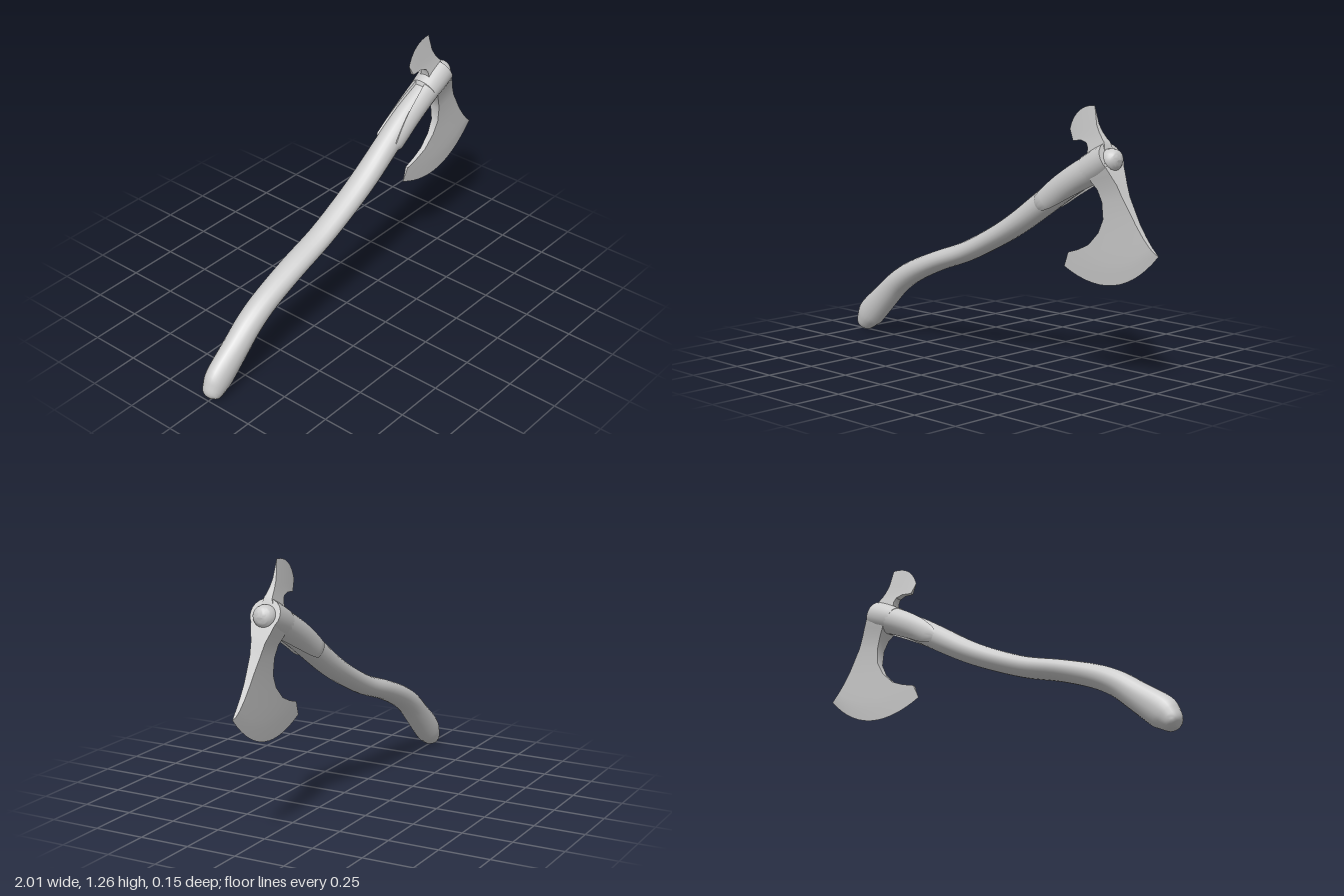
import * as THREE from 'three';
import { toCreasedNormals } from 'three/addons/utils/BufferGeometryUtils.js';

// Skin a list of equal-length point rings into a smooth surface with creased edges
function skin(rings, closed = true, crease = 0.7) {
  const n = rings[0].length, pos = [], index = [];
  rings.forEach(r => r.forEach(p => pos.push(...p)));
  for (let i = 0; i < rings.length - 1; i++) {
    for (let j = 0; j < (closed ? n : n - 1); j++) {
      const k = (j + 1) % n, a = i * n, b = a + n;
      index.push(a + j, b + j, b + k, a + j, b + k, a + k);
    }
  }
  const g = new THREE.BufferGeometry();
  g.setAttribute('position', new THREE.Float32BufferAttribute(pos, 3));
  g.setIndex(index);
  return toCreasedNormals(g, crease);
}

// Stations [x, y, halfHeight, halfWidth], smoothed into steps with in-plane normals
function frames(stations, sub) {
  const curve = f => new THREE.CatmullRomCurve3(stations.map(f), false, 'catmullrom');
  const path = curve(s => new THREE.Vector3(s[0], s[1], 0));
  const size = curve(s => new THREE.Vector3(s[2], s[3], 0));
  const count = (stations.length - 1) * sub, out = [];
  for (let i = 0; i <= count; i++) {
    const p = path.getPoint(i / count), s = size.getPoint(i / count);
    const t = path.getPoint(Math.min(1, (i + 1) / count))
      .sub(path.getPoint(Math.max(0, (i - 1) / count))).normalize();
    out.push({ p, t, h: Math.max(0, s.x), w: Math.max(0, s.y) });
  }
  return out;
}

// Point on the elliptical section of a frame (angle 0 faces +z)
const onSection = (f, a, grow = 0) => {
  const u = (f.h + grow) * Math.sin(a);
  return [f.p.x - f.t.y * u, f.p.y + f.t.x * u, (f.w + grow) * Math.cos(a)];
};

function loft(stations, sub, sides) {
  return skin(frames(stations, sub).map(f =>
    Array.from({ length: sides }, (_, j) => onSection(f, j / sides * Math.PI * 2))));
}

// Thin blade from rows [backX, backY, frontX, frontY, halfThickness, bulge]
function blade(rows, dir) {
  const cols = 14;
  return skin(rows.map(([ax, ay, bx, by, h, bulge]) => {
    const dx = bx - ax, dy = by - ay, len = Math.hypot(dx, dy), face = [];
    for (let j = 0; j <= cols; j++) {
      const s = j / cols, b = dir * bulge * 4 * s * (1 - s) / len;
      face.push([ax + dx * s + dy * b, ay + dy * s - dx * b, h]);
    }
    const ring = [...face, ...face.map(([x, y, z]) => [x, y, -z]).reverse()];
    return dir > 0 ? ring : ring.reverse();
  }), true, 0.6);
}

export function createModel() {
  const group = new THREE.Group();
  group.name = 'axe';
  const grey = new THREE.MeshStandardMaterial({ color: 0xcccccc, side: THREE.DoubleSide });
  grey.name = 'light grey';
  const add = (name, geometry) => {
    const m = new THREE.Mesh(geometry, grey);
    m.name = name;
    group.add(m);
  };

  // Curved wooden handle with a swollen butt and rounded tip
  add('handle', loft([
    [-0.99, 0.03, 0, 0], [-0.98, 0.045, 0.04, 0.04], [-0.955, 0.08, 0.062, 0.054],
    [-0.915, 0.125, 0.077, 0.06], [-0.80, 0.225, 0.068, 0.062], [-0.70, 0.31, 0.061, 0.064],
    [-0.58, 0.38, 0.056, 0.064], [-0.40, 0.455, 0.051, 0.066], [-0.2, 0.525, 0.05, 0.065],
    [0, 0.62, 0.052, 0.066], [0.15, 0.705, 0.056, 0.066], [0.3, 0.805, 0.061, 0.063],
    [0.45, 0.905, 0.062, 0.062], [0.6, 0.99, 0.059, 0.06], [0.7, 1.037, 0.056, 0.057],
    [0.74, 1.048, 0.05, 0.052], [0.762, 1.05, 0.033, 0.034], [0.772, 1.05, 0, 0],
  ], 4, 20));

  // Collar around the handle, open at the front
  add('collar', loft([
    [0.575, 0.98, 0.05, 0.05], [0.595, 0.99, 0.072, 0.072], [0.66, 1.023, 0.076, 0.076],
    [0.722, 1.055, 0.074, 0.076], [0.7225, 1.0552, 0.062, 0.064], [0.69, 1.038, 0.05, 0.05],
  ], 1, 20));

  // Long cheek plates running back from the collar on both sides
  const cheek = frames([
    [0.3, 0.805, 0.061, 0.063], [0.38, 0.858, 0.063, 0.063], [0.45, 0.905, 0.062, 0.063],
    [0.53, 0.952, 0.062, 0.063], [0.6, 0.99, 0.062, 0.063], [0.66, 1.023, 0.062, 0.063],
  ], 3);
  for (const side of [0, Math.PI]) {
    add(side ? 'rightCheek' : 'leftCheek', skin(cheek.map((f, i) => {
      const k = i / (cheek.length - 1);
      const span = 0.3 + 1.0 * Math.min(1, Math.sqrt(k * 1.3));
      const mid = -0.1 * (side ? -1 : 1);
      return Array.from({ length: 13 }, (_, j) => {
        const edge = j === 0 || j === 12 || i === 0;
        const u = THREE.MathUtils.clamp((j - 1) / 10, 0, 1) * 2 - 1;
        return onSection(f, side + mid + u * span, edge ? -0.006 : 0.009);
      });
    }), false));
  }

  // Bearded main blade, thick at the collar and sharp along the arc
  add('blade', blade([
    [0.62, 1.00, 0.735, 1.03, 0.066, 0], [0.645, 0.945, 0.763, 0.98, 0.05, 0],
    [0.67, 0.91, 0.785, 0.94, 0.036, 0], [0.69, 0.855, 0.81, 0.885, 0.027, 0],
    [0.692, 0.775, 0.85, 0.82, 0.02, 0.005], [0.66, 0.71, 0.88, 0.77, 0.016, 0.02],
    [0.60, 0.65, 0.92, 0.715, 0.013, 0.04], [0.535, 0.62, 0.955, 0.675, 0.01, 0.065],
    [0.47, 0.60, 0.98, 0.653, 0.007, 0.088], [0.44, 0.53, 1.0, 0.64, 0, 0.11],
  ], 1));

  // Small flared blade on the back of the head
  add('backBlade', blade([
    [0.60, 1.05, 0.71, 1.08, 0.03, 0], [0.597, 1.095, 0.695, 1.125, 0.021, 0],
    [0.585, 1.115, 0.68, 1.14, 0.017, 0], [0.55, 1.125, 0.66, 1.165, 0.013, 0.005],
    [0.497, 1.118, 0.64, 1.2, 0.009, 0.015], [0.47, 1.17, 0.62, 1.285, 0, 0.035],
  ], -1));

  return group;
}
